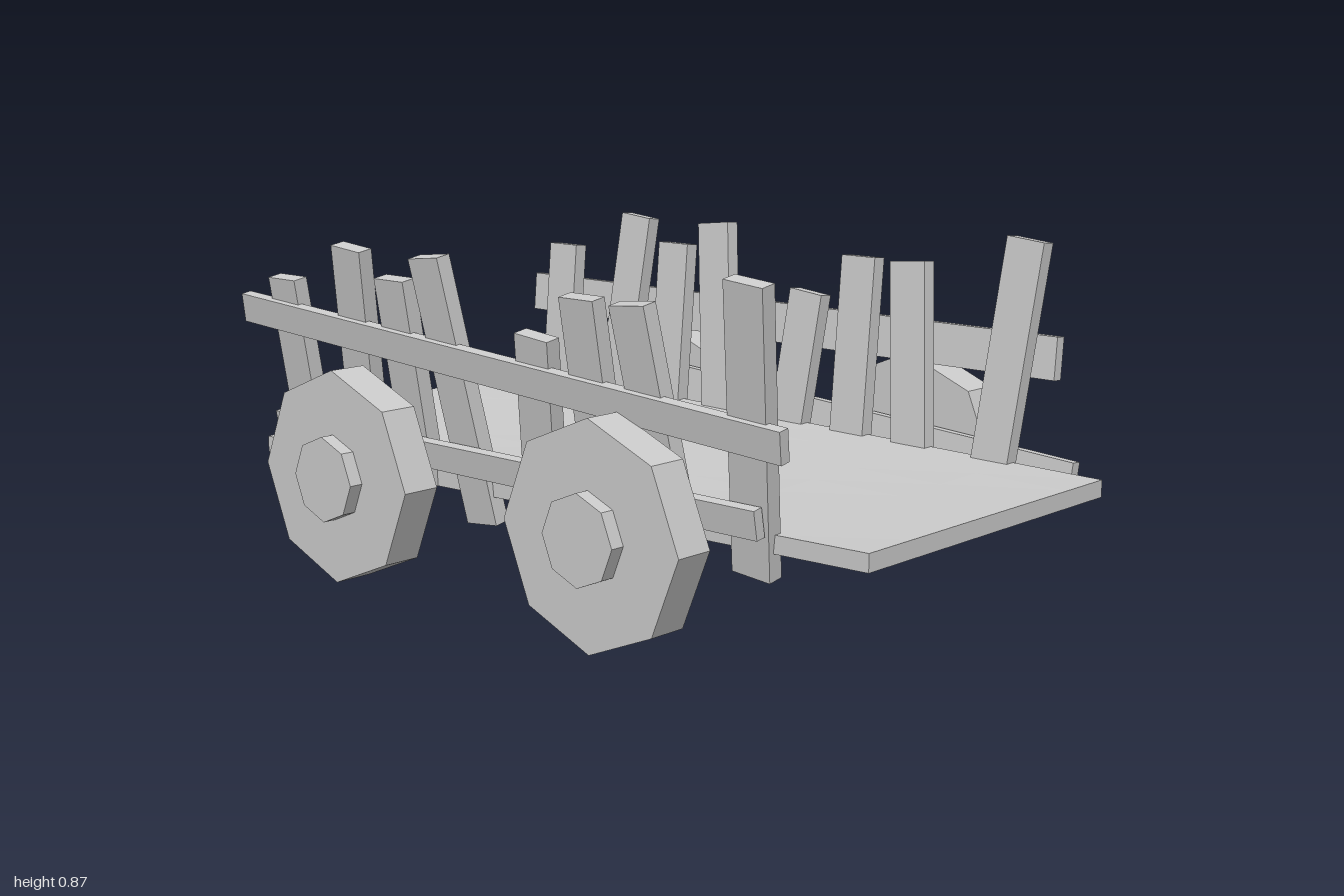
import * as THREE from 'three';

const material = new THREE.MeshStandardMaterial({ color: 0xcccccc, flatShading: true });

function addMesh(parent, name, geometry) {
  const mesh = new THREE.Mesh(geometry, material);
  mesh.name = name;
  parent.add(mesh);
  return mesh;
}

// Square-ended board from a to b; "facing" is the direction of its broad side
function addBoard(parent, name, a, b, width, thickness, facing) {
  const start = new THREE.Vector3(...a), end = new THREE.Vector3(...b);
  const along = end.clone().sub(start);
  const length = along.length();
  along.normalize();
  const normal = new THREE.Vector3(...facing);
  normal.addScaledVector(along, -normal.dot(along)).normalize();
  const across = along.clone().cross(normal);
  const mesh = addMesh(parent, name, new THREE.BoxGeometry(width, length, thickness));
  mesh.quaternion.setFromRotationMatrix(new THREE.Matrix4().makeBasis(across, along, normal));
  mesh.position.copy(start).add(end).multiplyScalar(0.5);
}

// Cart bed, level at the +x end and warped towards the -x end
function addFloor(parent) {
  const geometry = new THREE.BoxGeometry(2, 0.042, 0.905, 8, 1, 6);
  const p = geometry.attributes.position;
  for (let i = 0; i < p.count; i++) {
    const warp = (1 - p.getX(i)) / 2;
    p.setY(i, p.getY(i) - warp * p.getZ(i) * 0.084);
  }
  geometry.computeVertexNormals();
  addMesh(parent, 'floor', geometry).position.set(0, 0.294, 0.0125);
}

// Octagonal wheel with a raised hub on its outer side
function addWheel(parent, x, side) {
  const wheel = new THREE.Group();
  wheel.name = 'wheel';
  const disc = (name, radius, depth, z) => {
    const geometry = new THREE.CylinderGeometry(radius, radius, depth, 8);
    geometry.rotateX(Math.PI / 2);
    addMesh(wheel, name, geometry).position.z = z * side;
  };
  disc('wheelDisc', 0.267, 0.1, 0);
  disc('hub', 0.107, 0.04, 0.066);
  wheel.position.set(x, 0.268, 0.585 * side);
  parent.add(wheel);
}

// Slats: bottom x, bottom y, top x, top y
const SLATS = [
  [-0.797, 0.25, -0.797, 0.73],
  [-0.582, 0.20, -0.518, 0.83],
  [-0.372, 0.25, -0.372, 0.765],
  [-0.163, 0.18, -0.233, 0.83],
  [0.050, 0.21, 0.101, 0.675],
  [0.263, 0.21, 0.263, 0.78],
  [0.465, 0.25, 0.416, 0.78],
  [0.690, 0.21, 0.755, 0.86],
];

function addSlats(parent, zBase, slope) {
  const z = (y) => zBase + slope * (y - 0.18);
  for (const [x0, y0, x1, y1] of SLATS) {
    addBoard(parent, 'slat', [x0, y0, z(y0)], [x1, y1, z(y1)], 0.105, 0.04, [0, -slope, 1]);
  }
}

export function createModel() {
  const cart = new THREE.Group();
  cart.name = 'cart';
  addFloor(cart);

  for (const side of [1, -1]) {
    for (const x of [-0.51, 0.365]) addWheel(cart, x, side);
  }

  // Front side wall, leaning outwards
  const front = new THREE.Group();
  front.name = 'frontWall';
  addSlats(front, 0.444, 0.172);
  addBoard(front, 'upperRail', [-0.957, 0.641, 0.546], [0.825, 0.52, 0.525], 0.075, 0.028, [0, -0.172, 1]);
  addBoard(front, 'lowerRail', [-0.88, 0.34, 0.508], [0.745, 0.34, 0.508], 0.068, 0.026, [0, -0.172, 1]);
  cart.add(front);

  // Back side wall, a little steeper
  const back = new THREE.Group();
  back.name = 'backWall';
  addSlats(back, -0.42, -0.09);
  addBoard(back, 'upperRail', [-0.96, 0.575, -0.508], [0.83, 0.575, -0.508], 0.106, 0.03, [0, 0.09, 1]);
  addBoard(back, 'lowerRail', [-0.905, 0.405, -0.507], [0.883, 0.278, -0.507], 0.1, 0.03, [0, 0.09, 1]);
  cart.add(back);

  return cart;
}
